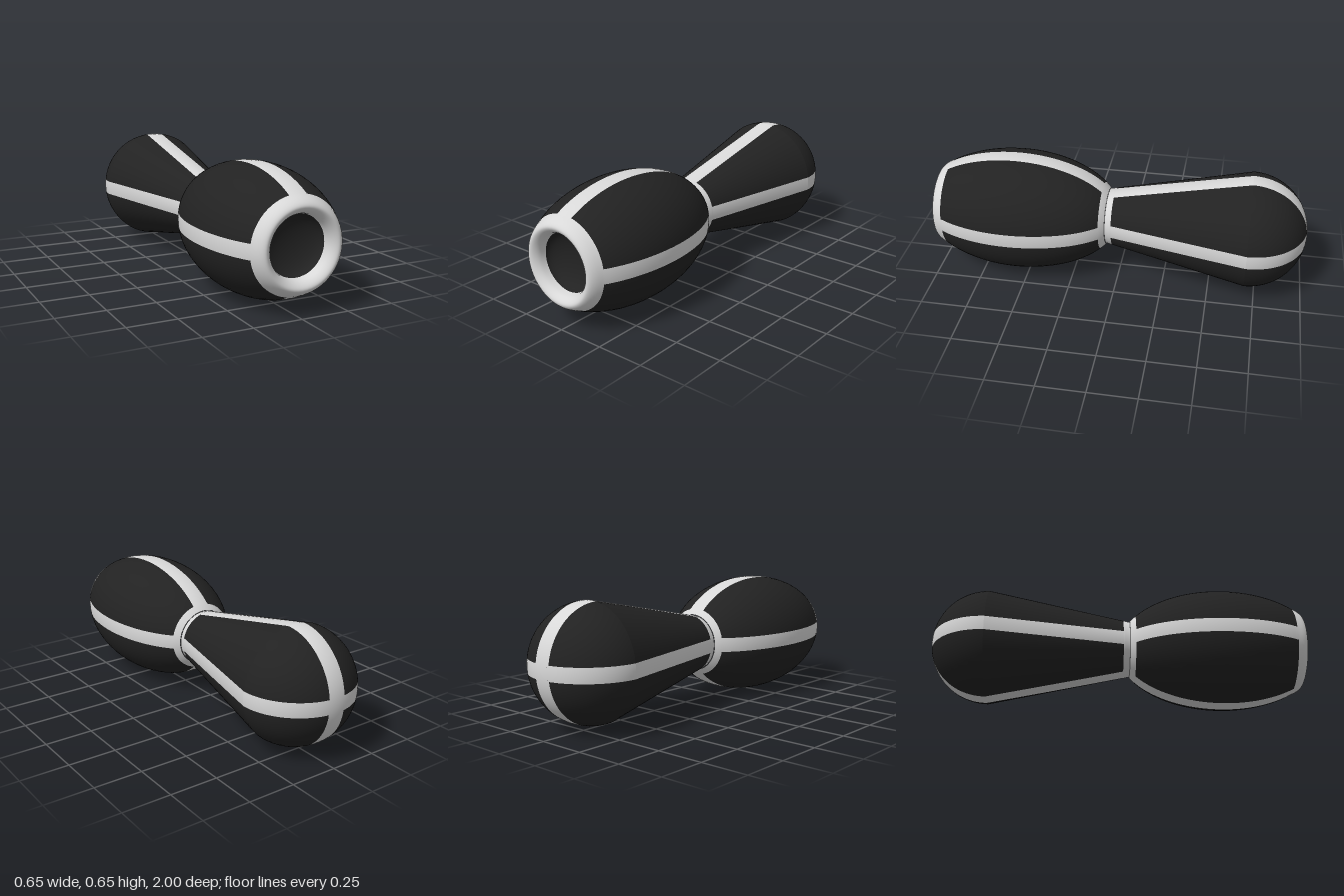
import * as THREE from 'three';

const CENTER_Y = 0.327;
const STRIPE_V = 0.046; // half width of the top and bottom stripes
const STRIPE_H = 0.038; // half width of the side stripes
const DARK_STEPS = 12, LIGHT_STEPS = 4;

// Angles around one ring; stripes keep a constant width whatever the radius.
function ringAngles(r) {
  const corner = Math.atan2(STRIPE_H, STRIPE_V);
  const merged = r <= Math.hypot(STRIPE_H, STRIPE_V);
  const a = merged ? corner : Math.asin(STRIPE_H / r);
  const b = merged ? corner : Math.acos(STRIPE_V / r);
  const spans = [[a, b], [Math.PI - b, Math.PI - a], [Math.PI + a, Math.PI + b], [2 * Math.PI - b, 2 * Math.PI - a]];
  const out = [];
  spans.forEach(([s, e], i) => {
    const next = i < 3 ? spans[i + 1][0] : spans[0][0] + 2 * Math.PI;
    for (let k = 0; k < DARK_STEPS; k++) out.push({ t: s + (e - s) * k / DARK_STEPS, dark: true });
    for (let k = 0; k < LIGHT_STEPS; k++) out.push({ t: e + (next - e) * k / LIGHT_STEPS, dark: false });
  });
  out.push({ t: spans[0][0] + 2 * Math.PI, dark: false });
  return out;
}

// Revolves a profile of [radius, z] points about z and sorts its faces by colour.
// style(z, i) returns 'striped', 'light' or 'dark' for a row of faces.
function revolve(name, profile, style, materials) {
  const positions = [], normals = [], index = { dark: [], light: [] };
  const rings = profile.map(([r]) => ringAngles(r));
  const n = rings[0].length;
  profile.forEach(([r, z], i) => {
    const p = profile[Math.max(i - 1, 0)], q = profile[Math.min(i + 1, profile.length - 1)];
    const len = Math.hypot(q[0] - p[0], q[1] - p[1]);
    const nr = r < 1e-6 ? 0 : (q[1] - p[1]) / len;
    const nz = r < 1e-6 ? 1 : -(q[0] - p[0]) / len;
    const sign = r < 1e-6 && q[0] > p[0] ? -1 : 1;
    for (const { t } of rings[i]) {
      positions.push(r * Math.cos(t), r * Math.sin(t), z);
      normals.push(nr * Math.cos(t), nr * Math.sin(t), nz * sign);
    }
  });
  for (let i = 0; i < profile.length - 1; i++) {
    const kind = style((profile[i][1] + profile[i + 1][1]) / 2, i);
    for (let j = 0; j < n - 1; j++) {
      const dark = kind === 'dark' || (kind === 'striped' && rings[i][j].dark);
      const a = i * n + j, c = a + n;
      index[dark ? 'dark' : 'light'].push(a, a + 1, c + 1, a, c + 1, c);
    }
  }
  const group = new THREE.Group();
  group.name = name;
  for (const key of ['dark', 'light']) {
    if (!index[key].length) continue;
    const g = new THREE.BufferGeometry();
    g.setAttribute('position', new THREE.Float32BufferAttribute(positions, 3));
    g.setAttribute('normal', new THREE.Float32BufferAttribute(normals, 3));
    g.setIndex(index[key]);
    const mesh = new THREE.Mesh(g, materials[key]);
    mesh.name = name + (key === 'dark' ? 'Shell' : 'Trim');
    group.add(mesh);
  }
  return group;
}

const steps = (n, f) => Array.from({ length: n + 1 }, (_, i) => f(i / n));

export function createModel() {
  const materials = {
    dark: new THREE.MeshStandardMaterial({ color: 0x222222 }),
    light: new THREE.MeshStandardMaterial({ color: 0xd8d8d8 }),
  };
  materials.dark.name = 'charcoal';
  materials.light.name = 'lightGrey';

  const model = new THREE.Group();
  model.name = 'handle';
  const striped = () => 'striped';
  const add = (name, profile, style) => {
    const part = revolve(name, profile, style, materials);
    part.position.y = CENTER_Y;
    model.add(part);
  };

  // Rounded rear end
  const capR = 0.307, capZ = -0.693;
  add('rearCap', steps(32, t => [
    capR * Math.sin(t * Math.PI / 2), capZ - capR * Math.cos(t * Math.PI / 2)]), striped);

  // Tapered rear body
  add('taperedBody', steps(12, t => [
    THREE.MathUtils.lerp(capR, 0.157, t), THREE.MathUtils.lerp(capZ, 0.03, t)]), striped);

  // Waist ring between the two bodies
  add('waistRing', [[0.157, 0.03], [0.156, 0.04], [0.152, 0.053], [0.151, 0.065]], () => 'light');

  // Barrel body continuing smoothly into the rolled mouth rim
  const barrel = z => 0.327 * Math.sqrt(1 - ((z - 0.56) / 0.56) ** 2);
  const rim = new THREE.SplineCurve([
    [barrel(0.94), 0.94], [0.224, 0.972], [0.207, 0.993], [0.19, 1], [0.172, 0.99], [0.157, 0.968], [0.15, 0.935],
  ].map(p => new THREE.Vector2(...p)));
  const barrelProfile = [
    ...steps(3, t => 0.065 + 0.03 * t).map(z => [barrel(z), z]),
    ...steps(36, t => 0.095 + 0.845 * t).slice(1).map(z => [barrel(z), z]),
    ...rim.getPoints(24).slice(1).map(p => [p.x, p.y]),
  ];
  add('barrelBody', barrelProfile, (z, i) => (i < 3 || i >= 39 ? 'light' : 'striped'));

  // Dark rounded recess in the mouth
  add('mouthRecess', steps(16, t => [
    0.15 * Math.cos(t * Math.PI / 2), 0.935 - 0.07 * Math.sin(t * Math.PI / 2)]), () => 'dark');

  return model;
}
